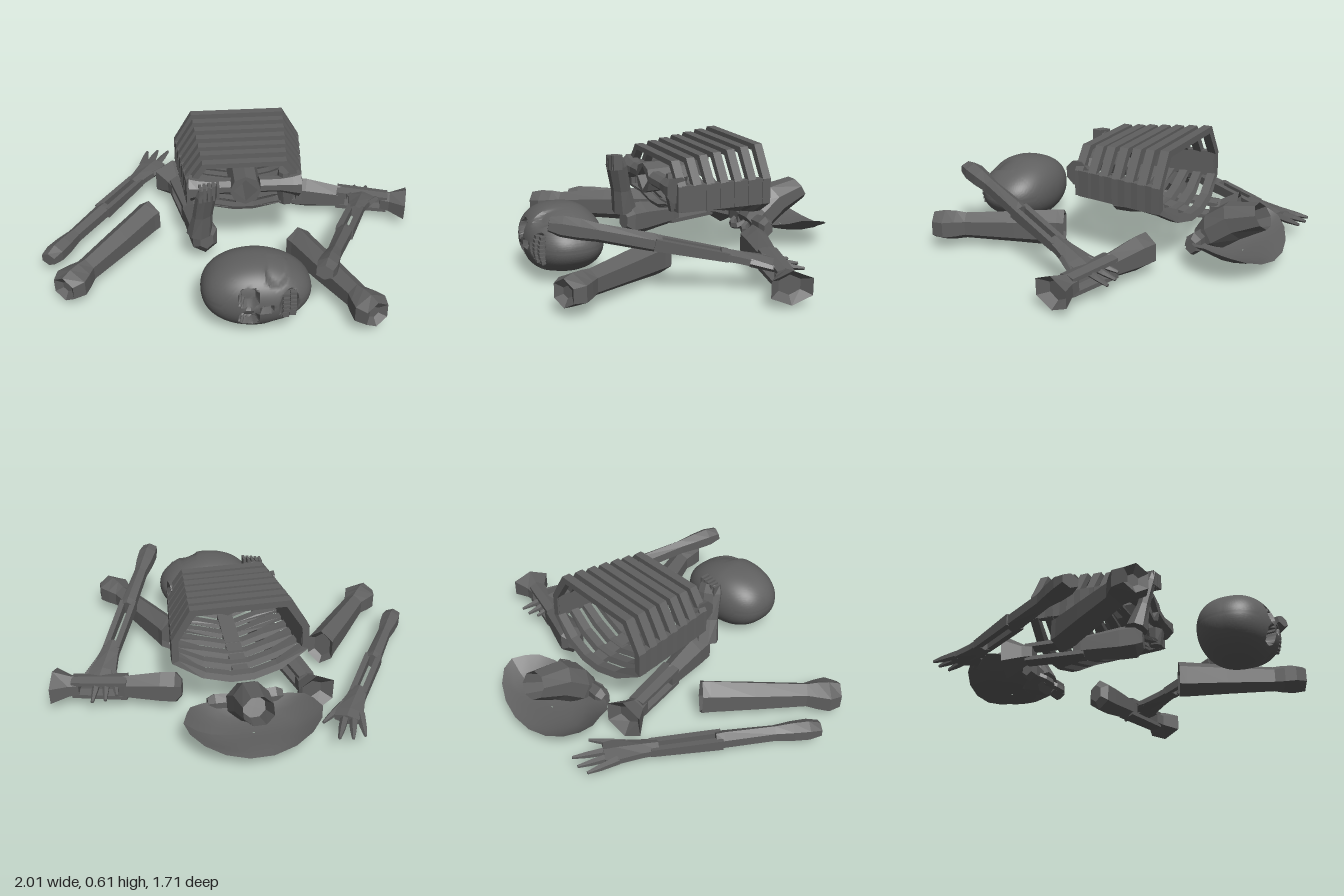
import * as THREE from 'three';
import { toCreasedNormals } from 'three/addons/utils/BufferGeometryUtils.js';

const material = new THREE.MeshStandardMaterial({ color: 0x606060, flatShading: true, side: THREE.DoubleSide });
const smooth = new THREE.MeshStandardMaterial({ color: 0x606060, side: THREE.DoubleSide });
const V = (x, y, z) => new THREE.Vector3(x, y, z);
const CX = 0.05; // centre line of the torso

function add(parent, name, geometry, mat = material) {
  const mesh = new THREE.Mesh(geometry, mat);
  mesh.name = name;
  parent.add(mesh);
  return mesh;
}

function group(parent, name) {
  const g = new THREE.Group();
  g.name = name;
  parent.add(g);
  return g;
}

// Local axes of a bone lying from a to b
function axes(a, b) {
  const d = b.clone().sub(a).normalize();
  const u = V(0, 1, 0).cross(d).normalize();
  const v = d.clone().cross(u);
  const at = (t, side = 0, lift = 0) => a.clone().lerp(b, t).addScaledVector(u, side).addScaledVector(v, lift);
  return { u, v, at };
}

// Skin closed rings [centre, half width, half height] with capped ends
function loft(rings, u, v, sides = 6) {
  const pos = [];
  const point = ([c, w, h], j) => {
    const a = (j + 0.5) / sides * Math.PI * 2;
    return c.clone().addScaledVector(u, w * Math.cos(a)).addScaledVector(v, h * Math.sin(a));
  };
  const tri = (...p) => p.forEach(q => pos.push(q.x, q.y, q.z));
  const last = rings.length - 1;
  for (let j = 0; j < sides; j++) {
    for (let i = 0; i < last; i++) {
      const a = point(rings[i], j), b = point(rings[i], j + 1);
      const c = point(rings[i + 1], j + 1), d = point(rings[i + 1], j);
      tri(a, b, c);
      tri(a, c, d);
    }
    tri(rings[0][0], point(rings[0], j + 1), point(rings[0], j));
    tri(rings[last][0], point(rings[last], j), point(rings[last], j + 1));
  }
  const g = new THREE.BufferGeometry();
  g.setAttribute('position', new THREE.Float32BufferAttribute(pos, 3));
  g.computeVertexNormals();
  return g;
}

// Profile rows: [t, half width, half height, side offset, lift]
function bone(parent, name, a, b, profile, sides) {
  const { u, v, at } = axes(a, b);
  return add(parent, name, loft(profile.map(([t, w, h, s, l]) => [at(t, s, l), w, h]), u, v, sides));
}

function box(parent, name, size, p) {
  const m = add(parent, name, new THREE.BoxGeometry(...size));
  m.position.copy(p);
  return m;
}

// Forearm: elbow, two parallel shafts, wrist, palm and fingers
function forearm(root, name, elbow, knuckles) {
  const g = group(root, name);
  const { at } = axes(elbow, knuckles);
  bone(g, 'elbow', elbow, knuckles, [[-0.06, 0.045, 0.035], [0, 0.055, 0.052], [0.08, 0.05, 0.052], [0.17, 0.037, 0.045],
    [0.42, 0.044, 0.045], [0.46, 0.047, 0.04]]);
  for (const s of [-1, 1])
    bone(g, 'shaft', elbow, knuckles, [[0.43, 0.021, 0.04, s * 0.03], [0.78, 0.021, 0.03, s * 0.029]], 4);
  bone(g, 'palm', elbow, knuckles, [[0.74, 0.048, 0.032], [0.82, 0.055, 0.032], [0.94, 0.08, 0.03], [1, 0.07, 0.025]]);
  // Base t, base side, tip t, tip side
  for (const [t0, s0, t1, s1] of [[0.94, 0.055, 1.09, 0.115], [0.96, 0.025, 1.13, 0.067], [0.96, -0.015, 1.15, 0.005], [0.88, -0.045, 1.06, -0.1]])
    bone(g, 'finger', at(t0, s0), at(t1, s1), [[0, 0.024, 0.022], [0.6, 0.018, 0.016], [1, 0.008, 0.008]], 5);
}

// Lower leg: knee, upper and lower shafts, flared hollow ankle
function shin(root, name, knee, ankle, ankleHeight) {
  const g = group(root, name);
  bone(g, 'knee', knee, ankle, [[-0.05, 0.04, 0.05], [0, 0.075, 0.09], [0.12, 0.07, 0.09], [0.42, 0.055, 0.065], [0.48, 0.05, 0.055]]);
  for (const s of [-1, 1])
    bone(g, 'shaft', knee, ankle, [[0.4, 0.055, 0.022, 0, s * 0.04], [0.86, 0.048, 0.02, 0, s * 0.036]], 6);
  bone(g, 'ankle', knee, ankle, [[0.8, 0.048, 0.052], [0.88, 0.06, 0.06], [1.02, 0.115, ankleHeight], [0.95, 0.06, 0.05]]);
}

// Thigh bone: hollow cut end to knobbed end
function thigh(root, name, cut, knob) {
  bone(root, name, cut, knob, [[0.05, 0.05, 0.07], [0, 0.078, 0.1], [0.06, 0.072, 0.1], [0.4, 0.068, 0.085],
    [0.8, 0.058, 0.07], [0.88, 0.08, 0.078], [0.97, 0.1, 0.08], [1.06, 0.07, 0.07], [1.02, 0.03, 0.03]]);
}

function ribCage(root) {
  const g = group(root, 'ribCage');
  [-0.375, -0.295, -0.22, -0.145, -0.07, 0.0, 0.08].forEach((z, i) => {
    const k = i / 6, s = 1 - 0.14 * k, top = 0.61 - 0.045 * k, low = 0.2 + 0.08 * k;
    const half = [[0.06, low], [0.2, low + 0.035], [0.345, 0.32], [0.345, 0.45], [0.25, top]];
    const outline = [...half, ...half.map(([x, y]) => [-x, y]).reverse()];
    const shape = new THREE.Shape(outline.map(([x, y]) => new THREE.Vector2(x * s, y)));
    shape.holes.push(new THREE.Path(outline.map(([x, y]) => new THREE.Vector2(x * s * 0.9, 0.4 + (y - 0.4) * 0.84))));
    const rib = new THREE.ExtrudeGeometry(shape, { depth: 0.045, bevelEnabled: false });
    // The lower part of each rib sweeps backwards
    const p = rib.attributes.position;
    for (let n = 0; n < p.count; n++) p.setZ(n, p.getZ(n) - Math.max(0, 0.32 - p.getY(n)) * 0.35);
    rib.computeVertexNormals();
    add(g, 'rib', rib).position.set(CX, 0, z);
  });
  for (const s of [-1, 1])
    box(g, 'sideBand', [0.035, 0.135, 0.47], V(CX + s * 0.303, 0.385, -0.13)).rotation.y = -s * 0.1;
  box(g, 'breastbone', [0.08, 0.03, 0.46], V(CX, 0.25, -0.16)).rotation.x = -0.17;

  // Hollow neck stub with a diamond-shaped opening
  const ring = (n, r) => Array.from({ length: n }, (_, i) =>
    new THREE.Vector2(r * Math.cos(i / n * Math.PI * 2), r * Math.sin(i / n * Math.PI * 2)));
  const neck = new THREE.Shape(ring(8, 0.08));
  neck.holes.push(new THREE.Path(ring(4, 0.062)));
  add(g, 'neck', new THREE.ExtrudeGeometry(neck, { depth: 0.22, bevelEnabled: false })).position.set(CX, 0.435, -0.04);

  // Collar bones
  for (const s of [-1, 1])
    bone(g, 'collarBone', V(CX + s * 0.07, 0.445, 0.14), V(CX + s * 0.28, 0.43, 0.12),
      [[0, 0.045, 0.04], [0.5, 0.045, 0.04], [0.8, 0.06, 0.055], [1, 0.065, 0.07]], 8);

  // Hanging shoulder blade with a ridged top, and its short counterpart
  bone(g, 'shoulderBlade', V(-0.145, 0.51, 0.25), V(-0.19, 0.2, 0.18),
    [[0, 0.055, 0.02], [0.15, 0.065, 0.03], [0.6, 0.06, 0.035], [1, 0.07, 0.06]], 8);
  bone(g, 'shoulderBlade', V(0.255, 0.5, 0.1), V(0.27, 0.31, 0.1), [[0, 0.045, 0.03], [0.5, 0.055, 0.05], [1, 0.035, 0.04]], 8);
  for (let i = 0; i < 5; i++)
    box(g, 'bladeRidge', [0.014, 0.08, 0.05], V(-0.185 + i * 0.022, 0.475 + i * 0.004, 0.255));
}

function pelvis(root) {
  const g = group(root, 'pelvis');
  // Broad shallow plate, low at the back and raised towards the squarer front
  const bowl = new THREE.RingGeometry(0.02, 1, 18, 5);
  const p = bowl.attributes.position;
  for (let i = 0; i < p.count; i++) {
    const x = p.getX(i), y = p.getY(i), r2 = x * x + y * y;
    const width = y < 0 ? 1 + 0.3 * y + 0.7 * y * y : 1;
    const rim = 0.1 + 0.08 * x * x - 0.03 * y;
    p.setXYZ(i, CX + 0.34 * x * width, 0.07 * (1 - r2) + rim * r2, -0.67 - (y > 0 ? 0.19 : 0.21) * y);
  }
  bowl.computeVertexNormals();
  add(g, 'plate', bowl, smooth);

  // Lower spine rising through the plate, open at its upper end
  const up = V(0, 0.87, 0.5), side = V(-1, 0, 0);
  const stub = [[-0.45, 0.1, 0.1, 0.06], [-0.52, 0.15, 0.11, 0.1], [-0.62, 0.22, 0.095, 0.1], [-0.768, 0.27, 0.08, 0.07], [-0.66, 0.22, 0.06, 0.055]];
  add(g, 'lowerSpine', loft(stub.map(([z, y, w, h]) => [V(CX, y, z), w, h]), side, up, 8));

  // Seat bones and hip sockets
  for (const s of [-1, 1]) {
    const loop = add(g, 'seatBone', new THREE.TorusGeometry(0.045, 0.02, 5, 8));
    loop.position.set(CX + s * 0.06, 0.1, -0.44);
    loop.rotation.x = -1.1;
    bone(g, 'hipSocket', V(CX + s * 0.07, 0.12, -0.47), V(CX + s * 0.19, 0.12, -0.47), [[0, 0.04, 0.05], [0.7, 0.045, 0.06], [1, 0.03, 0.04]]);
  }
}

// Skull built upright and facing +z, then laid on its side
function skull(root) {
  const g = group(root, 'skull');
  const ball = new THREE.SphereGeometry(1, 96, 72);
  const p = ball.attributes.position;
  const soft = (n, e) => Math.sign(n) * Math.abs(n) ** e;
  const dent = (d, r) => 1 - THREE.MathUtils.smoothstep(d, r * 0.72, r);
  for (let i = 0; i < p.count; i++) {
    const y0 = p.getY(i), jaw = y0 < 0 ? 1 + 0.2 * y0 : 1;
    const x = 0.17 * soft(p.getX(i), 0.95) * jaw, y = 0.265 * soft(y0, 0.9);
    let z = 0.195 * soft(p.getZ(i), 0.82);
    if (z > 0) {
      z -= 0.06 * dent(Math.hypot(Math.abs(x) - 0.057, y - 0.05), 0.05); // eye sockets
      z -= 0.04 * dent(Math.hypot(x * 1.5, y + 0.035), 0.034); // nose
      z -= 0.03 * dent(Math.hypot(x * 0.6, y + 0.142), 0.05); // mouth
      z -= 0.03 * dent(Math.hypot(Math.abs(x) - 0.14, (y + 0.09) * 0.8), 0.05); // cheek hollows
    }
    p.setXYZ(i, x, y, z);
  }
  add(g, 'cranium', toCreasedNormals(ball, 0.6), smooth);
  for (const y of [-0.125, -0.16])
    for (let i = -3; i <= 3; i++)
      box(g, 'tooth', [0.015, 0.03, 0.03], V(i * 0.02, y, (y < -0.14 ? 0.155 : 0.168) - i * i * 0.0012));
  g.rotation.z = Math.PI / 2;
  g.position.set(0.055, 0.19, 0.635);
}

export function createModel() {
  const root = new THREE.Group();
  root.name = 'scatteredSkeleton';
  skull(root);
  ribCage(root);
  pelvis(root);
  forearm(root, 'rightForearm', V(-0.94, 0.09, 0.16), V(-0.405, 0.1, -0.7));
  forearm(root, 'leftForearm', V(0.375, 0.35, 0.74), V(0.745, 0.14, -0.18));
  thigh(root, 'rightThigh', V(-0.445, 0.125, -0.095), V(-0.85, 0.095, 0.44));
  thigh(root, 'leftThigh', V(0.32, 0.115, 0.21), V(0.595, 0.12, 0.79));
  shin(root, 'rightShin', V(-0.16, 0.15, 0.17), V(-0.305, 0.12, -0.48), 0.115);
  shin(root, 'leftShin', V(0.37, 0.12, -0.29), V(0.965, 0.105, -0.135), 0.085);
  return root;
}
